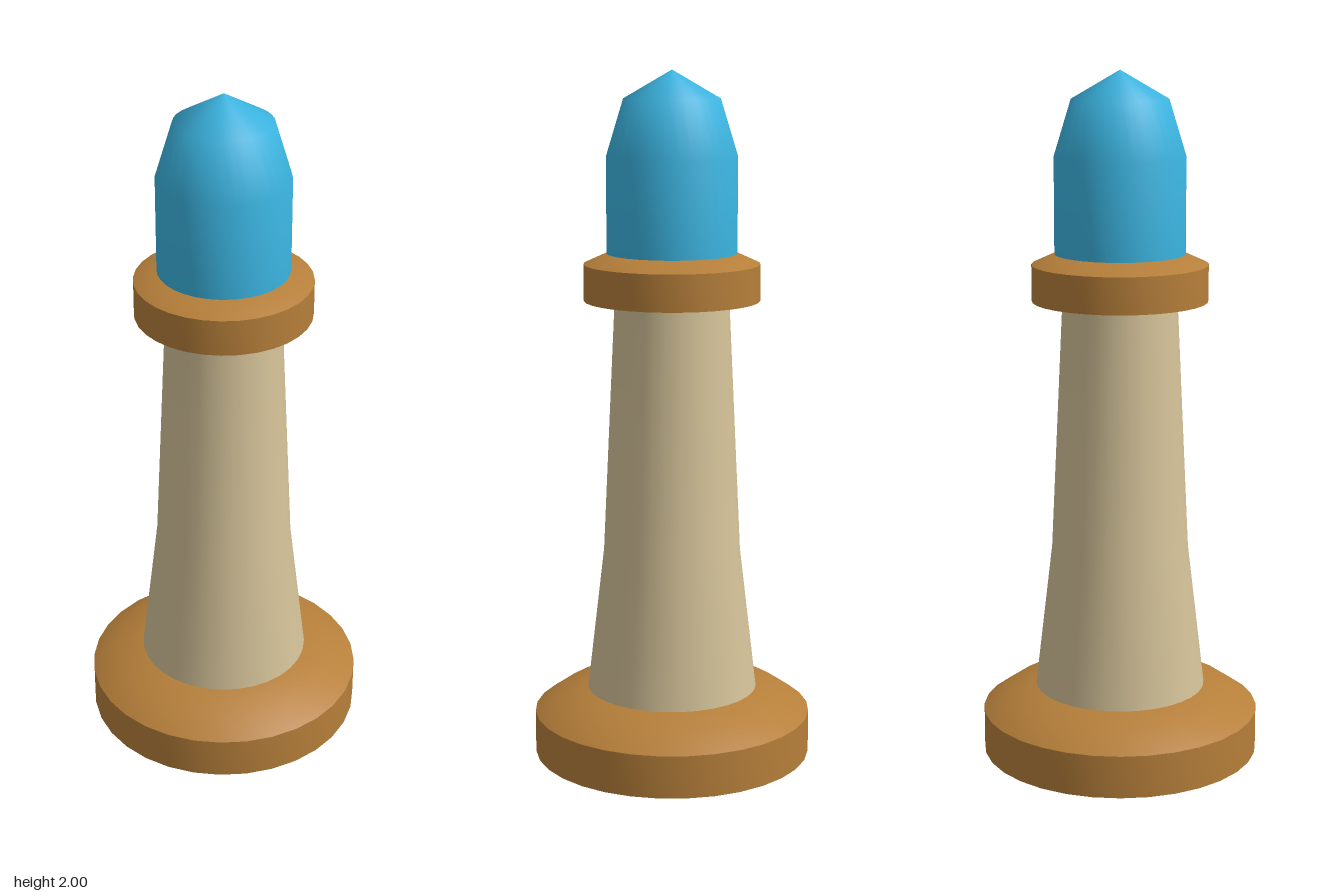
import * as THREE from 'three';
import { toCreasedNormals } from 'three/addons/utils/BufferGeometryUtils.js';

const SIDES = 32;

function flatColour(name, color) {
  const material = new THREE.MeshStandardMaterial({ color, side: THREE.DoubleSide });
  material.name = name;
  return material;
}

// Turned part from [radius, height] pairs, bottom to top, keeping hard rims sharp
function turned(name, profile, material) {
  const points = profile.map(([r, y]) => new THREE.Vector2(r, y));
  const geometry = toCreasedNormals(new THREE.LatheGeometry(points, SIDES), 0.8);
  const mesh = new THREE.Mesh(geometry, material);
  mesh.name = name;
  return mesh;
}

export function createModel() {
  const brown = flatColour('brown', 0xb67f3a);
  const sand = flatColour('sand', 0xd5c399);
  const blue = flatColour('sky blue', 0x3bb4e0);

  const model = new THREE.Group();
  model.name = 'tower';
  model.add(
    // Hollow plinth, open underneath
    turned('base', [[0.407, 0], [0.407, 0.125], [0.335, 0.175], [0.25, 0.197]], brown),
    // Tapering shaft, open at the foot
    turned('shaft', [[0.25, 0.197], [0.2, 0.62], [0.165, 1.35], [0.16, 1.485]], sand),
    // Overhanging ring, open underneath
    turned('collar', [[0.253, 1.35], [0.253, 1.455], [0.187, 1.485], [0.16, 1.487]], brown),
    // Lantern with pointed cap
    turned('lantern', [[0.187, 1.485], [0.187, 1.76], [0.138, 1.92], [0, 2]], blue)
  );
  return model;
}
